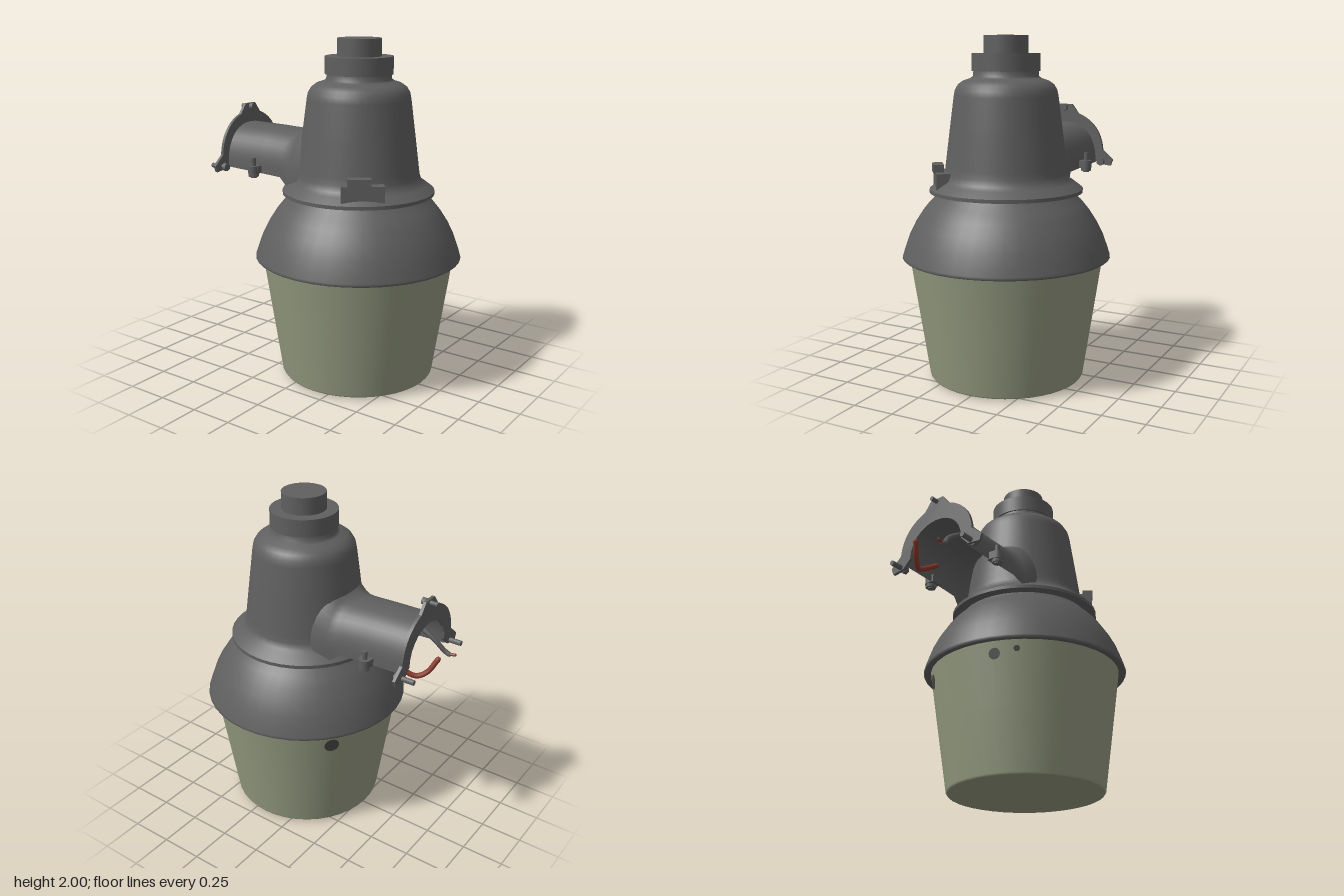
import * as THREE from 'three';
import { mergeGeometries } from 'three/addons/utils/BufferGeometryUtils.js';

const AXIS_Z = 0.17; // the lamp axis sits forward of the wall bracket

const material = (name, color, side = THREE.FrontSide) => {
  const m = new THREE.MeshStandardMaterial({ color, side });
  m.name = name;
  return m;
};

// Turned shape: each profile is smooth, the joints between profiles stay sharp
const turned = (profiles, segments = 40) => mergeGeometries(profiles.map(p =>
  new THREE.LatheGeometry(p.map(([r, y]) => new THREE.Vector2(r, y)), segments)));

// Arched, open-bottomed skin through sections [z, halfWidth, top, bottom]
function archedSkin(sections, steps = 20) {
  const pos = [], index = [];
  for (const [z, w, top, bottom] of sections) {
    for (let i = 0; i <= steps; i++) {
      const a = Math.PI * i / steps, c = Math.cos(a);
      pos.push(w * Math.sign(c) * Math.abs(c) ** 0.85,
        bottom + (top - bottom) * Math.max(0, Math.sin(a)) ** 0.85, z);
    }
  }
  for (let s = 0; s < sections.length - 1; s++) {
    for (let i = 0; i < steps; i++) {
      const a = s * (steps + 1) + i, b = a + steps + 1;
      index.push(a, a + 1, b, a + 1, b + 1, b);
    }
  }
  const g = new THREE.BufferGeometry();
  g.setAttribute('position', new THREE.Float32BufferAttribute(pos, 3));
  g.setIndex(index);
  g.computeVertexNormals();
  return g;
}

export function createModel() {
  const group = new THREE.Group();
  const metal = material('greyMetal', 0x5f5f5f);
  const sheet = material('greySheetMetal', 0x5f5f5f, THREE.DoubleSide);
  const glass = material('paleGreenGlass', 0x949a80);
  const red = material('redWire', 0x8c3a2c);
  const dark = material('darkSpot', 0x484946, THREE.DoubleSide);

  const add = (name, geometry, mat, x = 0, y = 0, z = 0, parent = group) => {
    const mesh = new THREE.Mesh(geometry, mat);
    mesh.name = name;
    mesh.position.set(x, y, z);
    parent.add(mesh);
    return mesh;
  };

  // Glass globe with a slightly domed bottom
  add('globe', turned([
    [[0, 0], [0.25, 0.003], [0.45, 0.012]],
    [[0.45, 0.012], [0.457, 0.022], [0.51, 0.37], [0.565, 0.735]],
  ]), glass, 0, 0, AXIS_Z);

  // Dark spots lying on the back of the globe: [angle from the back, y, radius]
  for (const [deg, y, r] of [[38, 0.645, 0.045], [-19, 0.66, 0.033], [-32, 0.68, 0.018]]) {
    const a = deg * Math.PI / 180, wall = 0.457 + 0.151 * (y - 0.02) + 0.003;
    const spot = add('globeSpot', new THREE.CircleGeometry(r, 14), dark,
      Math.sin(a) * wall, y, AXIS_Z - Math.cos(a) * wall);
    spot.rotation.set(0.15, Math.PI - a, 0, 'YXZ');
  }

  // Bowl-shaped shade over the globe
  add('shade', turned([
    [[0.55, 0.735], [0.6, 0.726]],
    [[0.6, 0.726], [0.608, 0.732], [0.605, 0.745], [0.59, 0.79], [0.565, 0.86], [0.53, 0.93],
      [0.485, 1.0], [0.445, 1.05], [0.4, 1.09], [0.385, 1.115]],
  ]), metal, 0, 0, AXIS_Z);

  // Tapered housing with a flared skirt and rounded shoulder
  add('housing', turned([
    [[0.37, 1.11], [0.445, 1.11]],
    [[0.445, 1.11], [0.445, 1.13]],
    [[0.445, 1.13], [0.4, 1.165], [0.37, 1.185], [0.357, 1.22], [0.352, 1.26], [0.325, 1.47],
      [0.3, 1.66], [0.293, 1.695], [0.275, 1.725], [0.245, 1.747], [0.205, 1.76], [0.188, 1.772], [0.186, 1.81]],
  ]), metal, 0, 0, AXIS_Z);

  // Photocell socket and cap
  add('socketCollar', turned([
    [[0.18, 1.8], [0.196, 1.8]],
    [[0.196, 1.8], [0.196, 1.9]],
    [[0.196, 1.9], [0.12, 1.9]],
  ]), metal, 0, 0, AXIS_Z);
  add('topCap', new THREE.CylinderGeometry(0.128, 0.128, 0.11, 36), metal, 0, 1.945, AXIS_Z);

  // Latch boss on the skirt, turned to follow the housing
  const latch = new THREE.Group();
  latch.name = 'latch';
  latch.position.set(-0.29, 0, 0.39);
  latch.rotation.y = Math.atan2(0.22, 0.29);
  add('latchBody', new THREE.BoxGeometry(0.14, 0.105, 0.24), metal, 0.02, 1.18, 0, latch);
  add('latchTab', new THREE.BoxGeometry(0.06, 0.05, 0.13), metal, -0.03, 1.25, -0.02, latch);
  group.add(latch);

  // Hollow bracket arm, flaring into the housing
  add('bracketArm', archedSkin([
    [-0.655, 0.218, 1.455, 1.2], [-0.4, 0.218, 1.452, 1.19], [-0.24, 0.225, 1.445, 1.185],
    [-0.19, 0.24, 1.45, 1.15], [-0.15, 0.255, 1.47, 1.12], [-0.1, 0.27, 1.52, 1.115], [0, 0.28, 1.56, 1.115],
  ]), sheet);

  // Horseshoe wall plate with spread feet and a top lug
  const plate = new THREE.Shape();
  plate.moveTo(0.19, 1.24);
  plate.lineTo(0.24, 1.19);
  plate.lineTo(0.32, 1.18);
  plate.lineTo(0.335, 1.22);
  plate.lineTo(0.265, 1.28);
  plate.quadraticCurveTo(0.25, 1.45, 0.09, 1.51);
  plate.lineTo(0.045, 1.57);
  plate.lineTo(-0.045, 1.57);
  plate.lineTo(-0.09, 1.51);
  plate.quadraticCurveTo(-0.25, 1.45, -0.265, 1.28);
  plate.lineTo(-0.335, 1.22);
  plate.lineTo(-0.32, 1.18);
  plate.lineTo(-0.24, 1.19);
  plate.lineTo(-0.19, 1.24);
  plate.bezierCurveTo(-0.19, 1.49, 0.19, 1.49, 0.19, 1.24);
  add('wallPlate', new THREE.ExtrudeGeometry(plate,
    { depth: 0.018, bevelEnabled: false, curveSegments: 14 }), metal, 0, 0, -0.667);

  // Bolts: hex head at the local top, shank hanging below it
  const bolt = (name, x, y, z, length, r) => {
    const g = new THREE.Group();
    g.name = name;
    g.position.set(x, y, z);
    add('boltHead', new THREE.CylinderGeometry(r * 1.7, r * 1.7, 0.026, 6), metal, 0, 0, 0, g);
    add('boltShank', new THREE.CylinderGeometry(r, r, length, 10), metal, 0, -length / 2, 0, g);
    group.add(g);
    return g;
  };
  bolt('topWallBolt', 0, 1.55, -0.633, 0.08, 0.013).rotation.x = Math.PI / 2;
  for (const s of [-1, 1]) {
    bolt('footWallBolt', s * 0.26, 1.205, -0.636, 0.105, 0.015).rotation.x = Math.PI / 2;
    // Clamp ear with an upright bolt
    add('clampEar', new THREE.BoxGeometry(0.05, 0.045, 0.07), metal, s * 0.228, 1.215, -0.42);
    add('clampEarEnd', new THREE.CylinderGeometry(0.035, 0.035, 0.045, 14), metal, s * 0.25, 1.215, -0.42);
    bolt('clampBolt', s * 0.25, 1.185, -0.42, 0.02, 0.019);
    add('clampBoltTip', new THREE.CylinderGeometry(0.014, 0.014, 0.1, 10), metal, s * 0.25, 1.235, -0.42);
  }

  // Supply wires hanging out of the arm
  const wire = (name, mat, r, points) => {
    const path = new THREE.CatmullRomCurve3(points.map(p => new THREE.Vector3(...p)));
    add(name, new THREE.TubeGeometry(path, 24, r, 8), mat);
    for (const p of [points[0], points[points.length - 1]])
      add(name + 'End', new THREE.SphereGeometry(r, 8, 6), mat, ...p);
  };
  wire('redWireLong', red, 0.015, [[0.14, 1.25, -0.5], [0.15, 1.19, -0.6], [0.12, 1.155, -0.67],
    [0.09, 1.18, -0.72], [0.055, 1.26, -0.765]]);
  wire('greyWire', metal, 0.014, [[-0.07, 1.36, -0.55], [-0.09, 1.28, -0.66], [-0.115, 1.215, -0.715],
    [-0.12, 1.2, -0.74]]);
  wire('redWireTip', red, 0.009, [[-0.12, 1.2, -0.74], [-0.125, 1.205, -0.775]]);

  return group;
}
